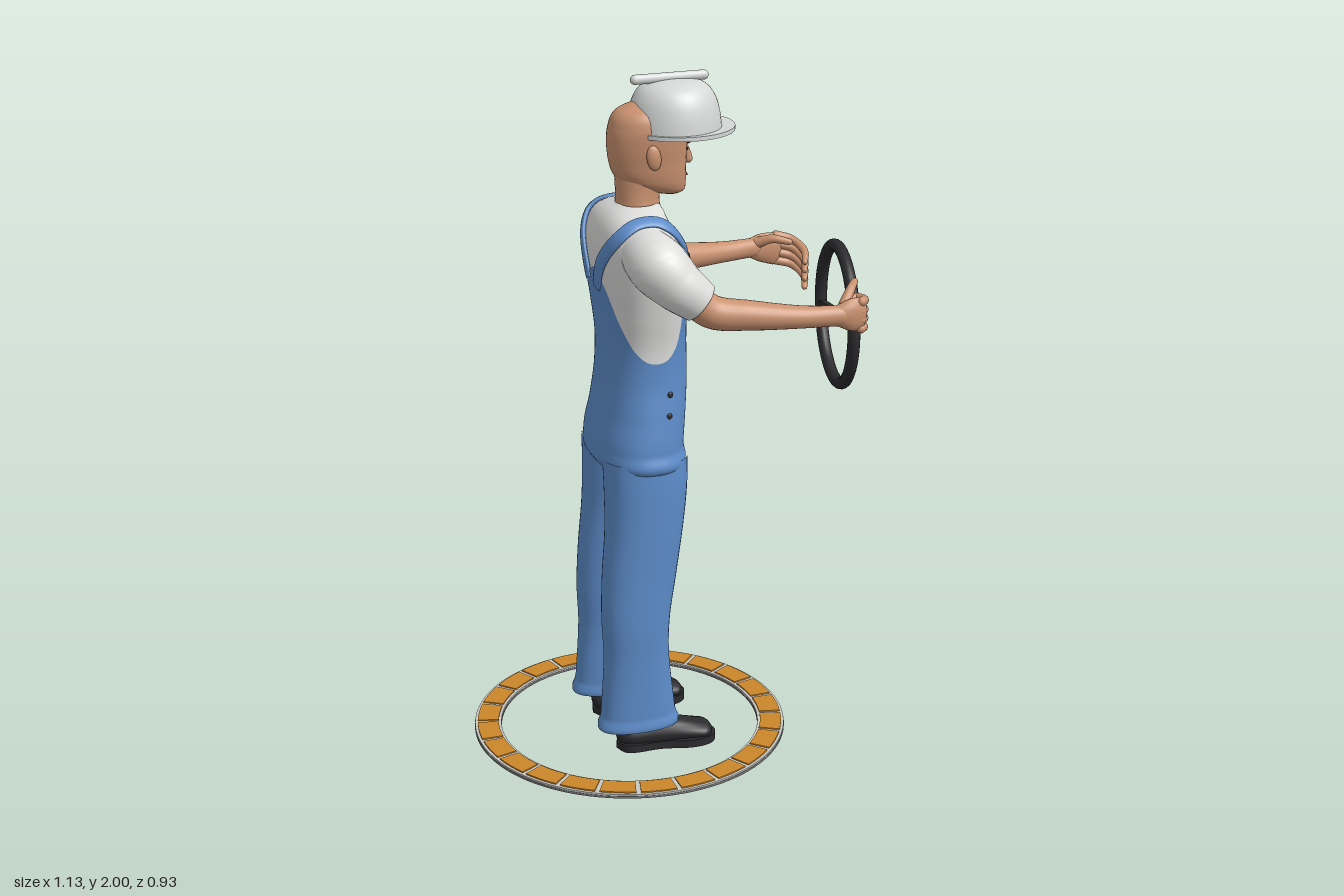
import * as THREE from 'three';
import { ParametricGeometry } from 'three/addons/geometries/ParametricGeometry.js';

const V = (x, y, z) => new THREE.Vector3(x, y, z);
const mat = (name, color) => Object.assign(new THREE.MeshStandardMaterial({ color }), { name });

// Smooth interpolation of table rows; the first column is the key
function sample(rows, t) {
  const n = rows.length;
  t = Math.min(Math.max(t, rows[0][0]), rows[n - 1][0]);
  let i = 0;
  while (i < n - 2 && t > rows[i + 1][0]) i++;
  const a = rows[i], b = rows[i + 1], p = rows[i - 1] ?? a, q = rows[i + 2] ?? b;
  const h = b[0] - a[0], s = (t - a[0]) / h, s2 = s * s, s3 = s2 * s;
  return a.slice(1).map((_, k) => {
    const c = k + 1;
    const m0 = (b[c] - p[c]) / (b[0] - p[0]) * h, m1 = (q[c] - a[c]) / (q[0] - a[0]) * h;
    return (2 * s3 - 3 * s2 + 1) * a[c] + (s3 - 2 * s2 + s) * m0 + (3 * s2 - 2 * s3) * b[c] + (s3 - s2) * m1;
  });
}

// Point on a rounded cross-section; rows are [y, back, front, zMin, zMax]
function section(rows, y, a, grow = 0, pow = 0.85) {
  const [b, f, n, o] = sample(rows, y);
  const c = Math.cos(a), s = Math.sin(a);
  return V((b + f) / 2 + ((f - b) / 2 + grow) * Math.sign(c) * Math.abs(c) ** pow, y,
    (n + o) / 2 + ((o - n) / 2 + grow) * Math.sign(s) * Math.abs(s) ** pow);
}

const surface = (fn, nu, nv) => new ParametricGeometry((u, v, out) => out.copy(fn(u, v)), nu, nv);

// Body between the first and last row of a table
function loft(rows, nu = 40, nv = 48, pow = 0.85) {
  const y0 = rows[0][0], y1 = rows[rows.length - 1][0];
  return surface((u, v) => section(rows, y0 + (y1 - y0) * v, -2 * Math.PI * u, 0, pow), nu, nv);
}

// Capped limb along points [x, y, z, horizontal radius, vertical radius]
function limb(pts, bulge = 1, nu = 16, nv = 26) {
  const curve = new THREE.CatmullRomCurve3(pts.map((p) => V(p[0], p[1], p[2])));
  const radii = pts.map((p, i) => [i / (pts.length - 1), p[3], p[4] ?? p[3]]);
  return surface((u, v) => {
    const cap = 0.16, t = Math.min(Math.max((v - cap) / (1 - 2 * cap), 0), 1);
    const e = v < cap ? (v - cap) / cap : v > 1 - cap ? (v - 1 + cap) / cap : 0;
    const [ra, rb] = sample(radii, t), T = curve.getTangent(t), w = e * 1.55;
    const A = T.clone().cross(V(0, 1, 0)).normalize(), B = T.clone().cross(A);
    const k = Math.cos(w), ang = 2 * Math.PI * u;
    return curve.getPoint(t).addScaledVector(T, Math.sin(w) * Math.min(ra, rb) * bulge)
      .addScaledVector(A, ra * k * Math.cos(ang)).addScaledVector(B, rb * k * Math.sin(ang));
  }, nu, nv);
}

const TORSO = [
  [0.865, -0.12, -0.04, -0.06, 0.06], [0.885, -0.195, 0.035, -0.185, 0.185], [0.95, -0.208, 0.038, -0.193, 0.193],
  [1.05, -0.19, 0.046, -0.18, 0.18], [1.15, -0.178, 0.052, -0.165, 0.165], [1.25, -0.175, 0.05, -0.165, 0.165],
  [1.35, -0.185, 0.048, -0.182, 0.182], [1.45, -0.198, 0.047, -0.2, 0.2], [1.53, -0.2, 0.035, -0.21, 0.21],
  [1.58, -0.19, 0.012, -0.195, 0.195], [1.61, -0.175, -0.002, -0.16, 0.16], [1.63, -0.155, -0.008, -0.115, 0.115],
  [1.645, -0.13, -0.02, -0.07, 0.07]];
const HEAD = [
  [1.658, 0.01, 0.05, -0.018, 0.018], [1.668, -0.03, 0.066, -0.042, 0.042], [1.69, -0.1, 0.07, -0.062, 0.062],
  [1.72, -0.135, 0.07, -0.073, 0.073], [1.76, -0.15, 0.071, -0.08, 0.08], [1.81, -0.155, 0.073, -0.088, 0.088],
  [1.86, -0.15, 0.075, -0.09, 0.09], [1.9, -0.13, 0.055, -0.075, 0.075], [1.925, -0.08, 0.01, -0.035, 0.035]];
const NECK = [[1.6, -0.14, 0.005, -0.075, 0.075], [1.65, -0.132, -0.008, -0.062, 0.062], [1.74, -0.135, 0.01, -0.06, 0.06]];
const LEG = [
  [0.065, -0.16, -0.07, 0.1, 0.15], [0.07, -0.23, 0, 0.064, 0.192], [0.12, -0.227, -0.003, 0.06, 0.193],
  [0.3, -0.216, -0.022, 0.055, 0.195], [0.42, -0.22, -0.02, 0.045, 0.2], [0.55, -0.216, 0, 0.035, 0.2],
  [0.7, -0.204, 0.022, 0.022, 0.202], [0.82, -0.202, 0.036, 0.006, 0.202], [0.92, -0.205, 0.04, 0, 0.198]];
// Upper hem of the overalls by angle from the front
const HEM = [[0, 1.47], [0.55, 1.465], [0.64, 1.44], [0.85, 1.33], [1.15, 1.25], [1.6, 1.215], [2.1, 1.25], [2.5, 1.33], [2.85, 1.43], [3.15, 1.47]];

// Flat band lying on the torso along [angle, height] points
function strap(pts, s) {
  const at = (a, y) => section(TORSO, y, a * s, 0.007);
  const path = new THREE.SplineCurve(pts.map((p) => new THREE.Vector2(...p)));
  return surface((u, v) => {
    const p = path.getPoint(v), q = path.getPoint(Math.min(v + 0.01, 1)), r = path.getPoint(Math.max(v - 0.01, 0));
    const c = at(p.x, p.y), T = at(q.x, q.y).sub(at(r.x, r.y)).normalize();
    const N = at(p.x, p.y + 0.003).sub(at(p.x, p.y - 0.003))
      .cross(at(p.x + 0.01, p.y).sub(at(p.x - 0.01, p.y))).multiplyScalar(s).normalize();
    const W = N.clone().cross(T).normalize(), ang = 2 * Math.PI * u;
    N.copy(T).cross(W);
    return c.addScaledVector(W, 0.023 * Math.cos(ang)).addScaledVector(N, 0.008 * Math.sin(ang));
  }, 12, 50);
}

function ringSector(r0, r1, a0, a1, depth, y) {
  const s = new THREE.Shape();
  s.absarc(0, 0, r1, a0, a1, false);
  s.absarc(0, 0, r0, a1, a0, true);
  return new THREE.ExtrudeGeometry(s, { depth, bevelEnabled: false, curveSegments: 6 }).rotateX(-Math.PI / 2).translate(-0.1, y, 0);
}

export function createModel() {
  const skin = mat('skin', 0xc9916f), blue = mat('denim blue', 0x5d8cc9), white = mat('shirt white', 0xdcdddb);
  const shell = mat('helmet white', 0xd6d8d8), black = mat('black', 0x2b2b2e), orange = mat('orange', 0xcb862a);
  const frame = mat('light grey', 0xc9c9c4), under = mat('dark grey', 0x77777a), brown = mat('brow brown', 0x4a3026);
  const lip = mat('lip', 0xa86a55);
  const model = new THREE.Group();
  const add = (name, geo, material, parent = model) => {
    const m = new THREE.Mesh(geo, material);
    m.name = name;
    parent.add(m);
    return m;
  };
  const ball = (name, p, r, material) => {
    const m = add(name, new THREE.SphereGeometry(1, 16, 12), material);
    m.position.copy(p);
    m.scale.set(...r);
    return m;
  };

  // Floor ring with orange tiles
  for (let i = 0; i < 24; i++) {
    const a = i * Math.PI / 12, b = a + Math.PI / 12;
    add('ringBase', ringSector(0.385, 0.466, a, b, 0.007, 0.016), under);
    add('ringFrame', ringSector(0.386, 0.465, a, b, 0.005, 0.023), frame);
    add('ringTile', ringSector(0.394, 0.457, a + 0.015, b - 0.015, 0.005, 0.027), orange);
  }

  // Torso, overalls and head
  add('shirt', loft(TORSO.slice(4), 56, 48), white);
  add('overalls', surface((u, v) => {
    const a = Math.PI * (1 - 2 * u), top = sample(HEM, Math.abs(a))[0];
    return section(TORSO, 0.865 + (top - 0.865) * v, a, v > 0.9999 ? -0.004 : 0.007);
  }, 96, 48), blue);
  add('neck', loft(NECK, 28, 10, 1), skin);
  add('head', loft(HEAD, 40, 40, 0.92), skin);
  add('nose', limb([[0.068, 1.795, 0, 0.009], [0.077, 1.77, 0.0001, 0.011], [0.08, 1.752, 0, 0.013]]), skin);
  ball('mouth', V(0.07, 1.712, 0), [0.004, 0.005, 0.026], lip);

  for (const s of [1, -1]) {
    // Face details
    ball('eye', section(HEAD, 1.79, 0.34 * s, -0.001, 0.92), [0.004, 0.005, 0.013], black);
    ball('brow', section(HEAD, 1.808, 0.36 * s, 0, 0.92), [0.006, 0.004, 0.021], brown).rotation.x = -0.2 * s;
    ball('ear', V(-0.05, 1.785, 0.088 * s), [0.021, 0.036, 0.012], skin).rotation.z = 0.15;

    // Trouser legs and shoes
    add('trouserLeg', loft(LEG.map(([y, b, f, n, o]) => (s > 0 ? [y, b, f, n, o] : [y, b, f, -o, -n])), 36, 60), blue);
    const half = [[-0.15, 0.044], [-0.05, 0.042], [0.04, 0.056], [0.1, 0.042]];
    const outline = [[-0.18, 0], ...half.map(([x, y]) => [x, -y]), [0.122, 0], ...half.reverse()].map((p) => new THREE.Vector2(...p));
    const sole = new THREE.Shape();
    sole.moveTo(-0.18, 0);
    sole.splineThru([...outline.slice(1), outline[0]]);
    const shoe = new THREE.Group();
    shoe.name = 'shoe';
    shoe.position.z = 0.132 * s;
    shoe.rotation.y = -0.08 * s;
    add('sole', new THREE.ExtrudeGeometry(sole, { depth: 0.024, bevelEnabled: false }).rotateX(-Math.PI / 2), black, shoe);
    add('upper', limb([[-0.13, 0.045, 0, 0.043, 0.04], [-0.03, 0.045, 0, 0.045, 0.042], [0.08, 0.035, 0, 0.05, 0.024]], 1.3), black, shoe);
    model.add(shoe);

    // Straps, buckles and hip buttons
    add('strap', strap([[0.44, 1.5], [0.5, 1.53], [0.72, 1.58], [1.1, 1.612], [1.6, 1.622], [2.1, 1.61], [2.5, 1.57], [2.83, 1.5], [3.02, 1.42]], s), blue);
    add('strapEnd', strap([[0.43, 1.44], [0.43, 1.455], [0.43, 1.47]], s), blue);
    const buckle = add('buckle', new THREE.BoxGeometry(0.014, 0.04, 0.034), black);
    buckle.position.copy(section(TORSO, 1.492, 0.43 * s, 0.008));
    buckle.rotation.z = 0.2;
    for (const y of [1.12, 1.06]) ball('hipButton', section(TORSO, y, 1.35 * s, 0.007), [0.009, 0.009, 0.004], black);

    // Sleeves and forearms
    add('sleeve', limb([[-0.1, 1.545, 0.13 * s, 0.07], [-0.08, 1.515, 0.212 * s, 0.084], [-0.035, 1.465, 0.246 * s, 0.073], [0.025, 1.415, 0.26 * s, 0.06]], 0.2, 28), white);
    add('forearm', limb([[0, 1.43, 0.255 * s, 0.048], [0.06, 1.385, 0.265 * s, 0.047], [0.16, 1.372, 0.288 * s, 0.042],
      [0.3, 1.362, 0.32 * s, 0.032], [0.41, 1.36, 0.34 * s, 0.024, 0.029]], 1, 24, 40), skin);
  }

  // Gripping hand
  add('rightPalm', limb([[0.4, 1.36, 0.338, 0.022, 0.03], [0.435, 1.36, 0.34, 0.023, 0.046], [0.468, 1.358, 0.337, 0.02, 0.05]]), skin);
  add('rightThumb', limb([[0.425, 1.385, 0.325, 0.016], [0.455, 1.418, 0.298, 0.013], [0.478, 1.432, 0.272, 0.01]]), skin);
  // Open hand with curved fingers
  add('leftPalm', limb([[0.4, 1.36, -0.34, 0.022, 0.029], [0.44, 1.355, -0.35, 0.021, 0.044], [0.49, 1.345, -0.352, 0.017, 0.05]]), skin);
  add('leftThumb', limb([[0.42, 1.375, -0.335, 0.017], [0.46, 1.392, -0.305, 0.013], [0.505, 1.385, -0.282, 0.01]]), skin);
  for (let i = 0; i < 4; i++) {
    const y = 1.395 - 0.026 * i;
    add('rightFinger', limb([[0.47, y, 0.343, 0.014], [0.487, y - 0.002, 0.322, 0.013], [0.478, y - 0.004, 0.292, 0.012], [0.452, y - 0.004, 0.295, 0.011]], 1, 10, 20), skin);
    add('leftFinger', limb([[0.49, y - 0.008, -0.354, 0.014], [0.535, y - 0.02, -0.338, 0.0125], [0.555, y - 0.042, -0.285, 0.0115],
      [0.535, y - 0.06, -0.228, 0.009]], 1, 10, 20), skin);
  }

  // Hard hat
  const dome = [[0.133, 0], [0.128, 0.04], [0.117, 0.08], [0.098, 0.11], [0.07, 0.127], [0.035, 0.134], [0.0001, 0.136]];
  const profile = new THREE.SplineCurve(dome.map((p) => new THREE.Vector2(...p))).getPoints(24);
  add('helmetDome', new THREE.LatheGeometry(profile, 48).translate(0.039, 1.848, 0), shell);
  const brim = add('helmetBrim', new THREE.CylinderGeometry(1, 1, 0.012, 56), shell);
  brim.position.set(0.056, 1.844, 0);
  brim.scale.set(0.155, 1, 0.147);
  const ridge = add('helmetRidge', new THREE.CapsuleGeometry(0.014, 0.2, 6, 14), shell);
  ridge.rotation.z = Math.PI / 2;
  ridge.position.set(0.025, 1.986, 0);

  // Steering wheel
  const wheel = new THREE.Group();
  wheel.name = 'steeringWheel';
  add('wheelRim', new THREE.TorusGeometry(0.2, 0.018, 14, 64), black, wheel);
  const bar = add('wheelBar', new THREE.BoxGeometry(0.39, 0.026, 0.018), black, wheel);
  bar.rotation.z = 0.16;
  wheel.position.set(0.51, 1.272, 0.082);
  wheel.rotation.y = Math.PI / 2 - 0.16;
  bar.rotation.z = -0.16;
  model.add(wheel);

  return model;
}
